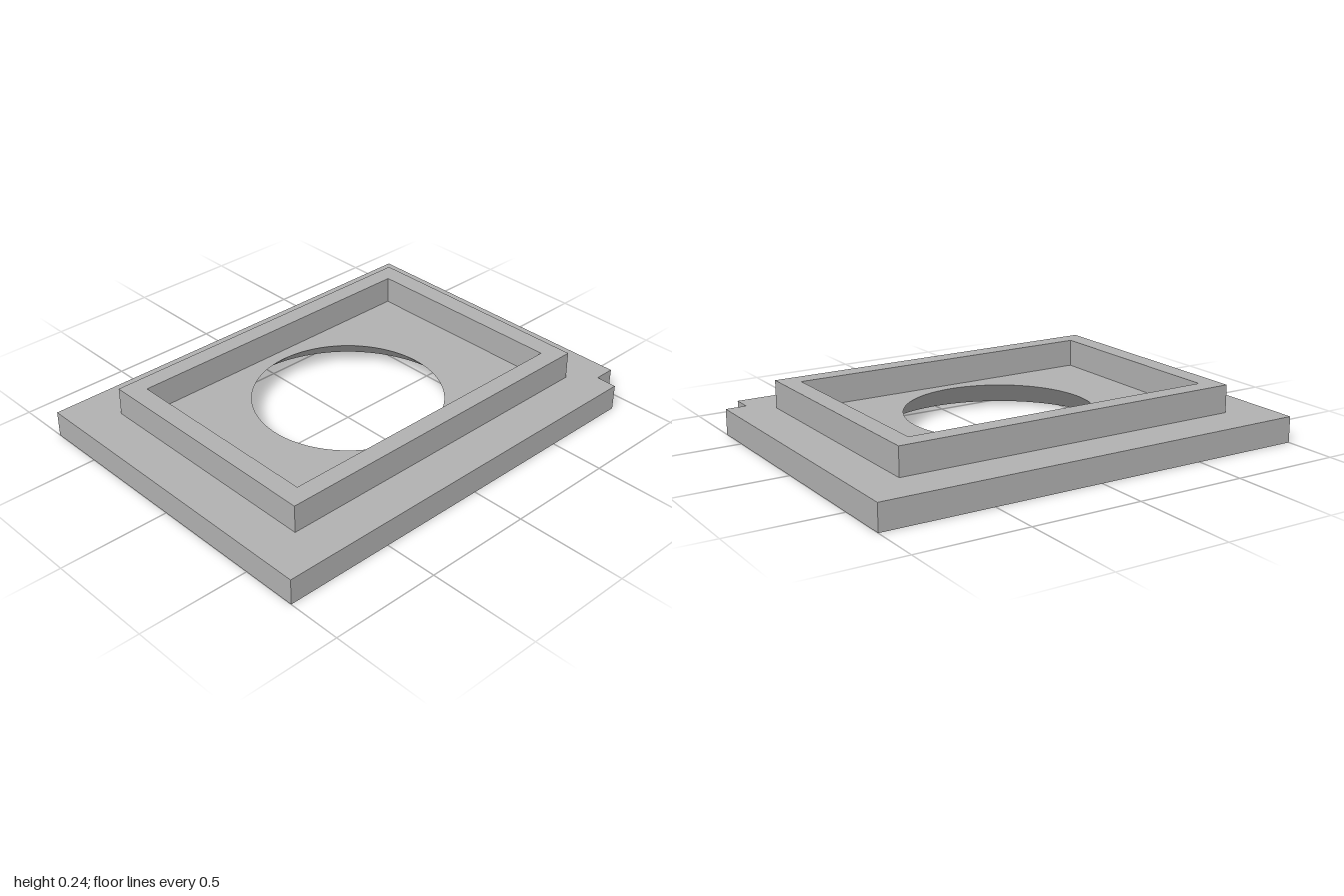
import * as THREE from 'three';
import { toCreasedNormals } from 'three/addons/utils/BufferGeometryUtils.js';

const BASE_H = 0.117, FRAME_H = 0.125;
const HOLE_TOP = 0.42, HOLE_BOTTOM = 0.56;

const outline = (pts) => pts.map(([x, y]) => new THREE.Vector2(x, y));
const rect = (w, d) => outline([[-w, -d], [w, -d], [w, d], [-w, d]]);

// Extrudes a plan upwards; plan y points to the back (-z)
function slab(shape, height) {
  const geo = new THREE.ExtrudeGeometry(shape, { depth: height, bevelEnabled: false, curveSegments: 72 });
  return geo.rotateX(-Math.PI / 2);
}

export function createModel() {
  const group = new THREE.Group();
  const grey = new THREE.MeshStandardMaterial({ color: 0xb0b0b0 });
  grey.name = 'grey';

  const add = (name, geo) => {
    const mesh = new THREE.Mesh(geo, grey);
    mesh.name = name;
    group.add(mesh);
    return mesh;
  };

  // Base plate with a notched back left corner and a round opening
  const plan = new THREE.Shape(outline([
    [-0.755, -1], [0.755, -1], [0.755, 0.905], [0.66, 0.905], [0.66, 1], [-0.755, 1],
  ]));
  plan.holes.push(new THREE.Path().absarc(0, 0, HOLE_BOTTOM, 0, Math.PI * 2, true));
  const base = slab(plan, BASE_H);

  // Narrow the opening towards the top so its wall is conical
  const pos = base.attributes.position;
  for (let i = 0; i < pos.count; i++) {
    const x = pos.getX(i), z = pos.getZ(i);
    if (pos.getY(i) > BASE_H / 2 && Math.hypot(x, z) < HOLE_BOTTOM + 0.02) {
      pos.setX(i, x * HOLE_TOP / HOLE_BOTTOM);
      pos.setZ(i, z * HOLE_TOP / HOLE_BOTTOM);
    }
  }
  add('basePlate', toCreasedNormals(base, 0.5));

  // Raised rectangular rim
  const rim = new THREE.Shape(rect(0.56, 0.805));
  rim.holes.push(new THREE.Path(rect(0.478, 0.718)));
  add('raisedRim', slab(rim, FRAME_H)).position.y = BASE_H;

  return group;
}
